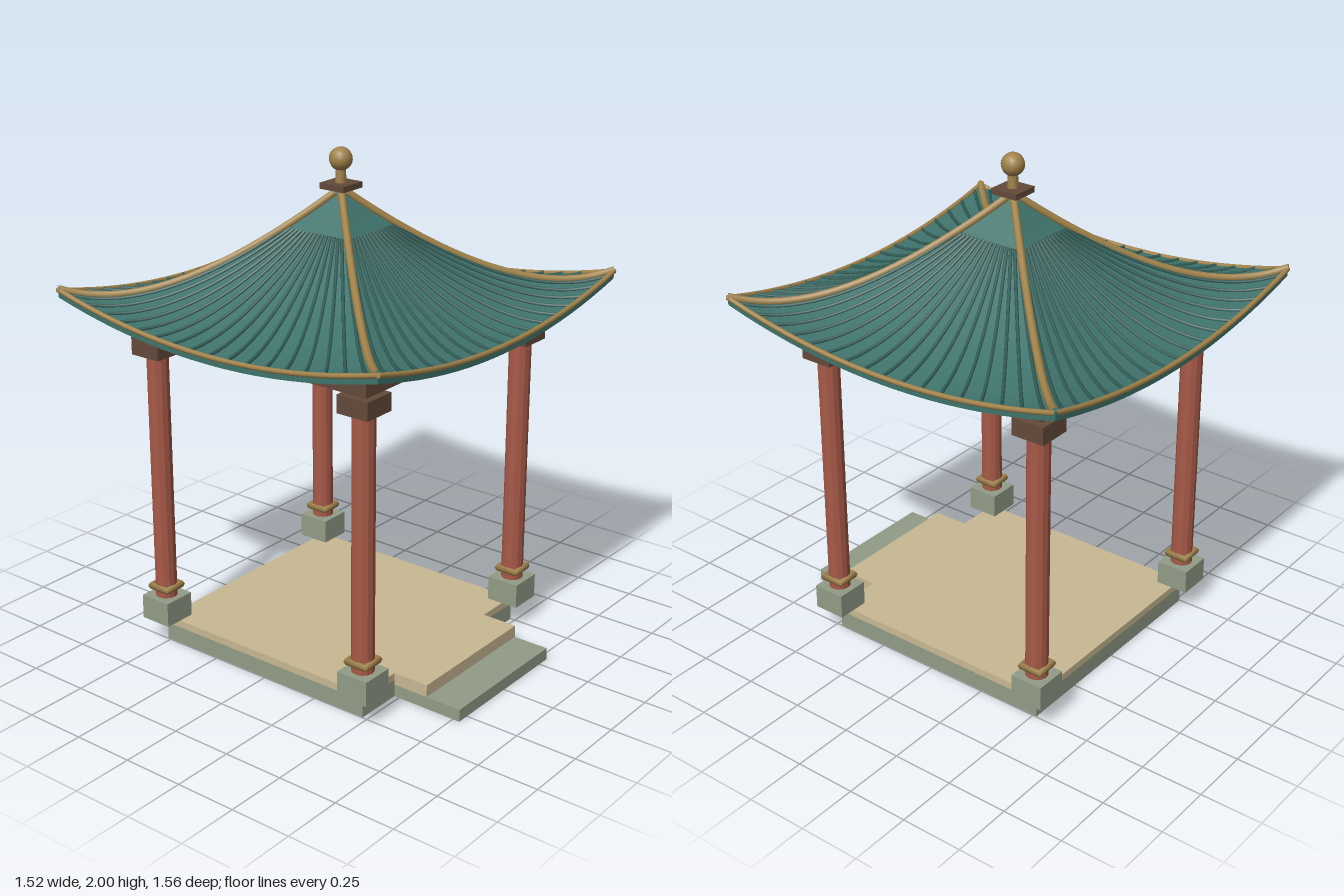
import * as THREE from 'three';

const mat = (color, flatShading = false) => new THREE.MeshStandardMaterial({ color, flatShading });
const R = 0.75;   // half width of the roof
const C = 0.497;  // column distance from the axis

// Roof surface of one side: u runs along the eave (-1..1), t from apex (0) to eave (1)
function roofPoint(u, t, lift = 0) {
  const y = 1.385 + 0.455 * Math.pow(1 - t, 1.7) + 0.1 * u * u * Math.pow(t, 4);
  return new THREE.Vector3(u * t * R, y + lift, t * R);
}

export function createModel() {
  const model = new THREE.Group();
  model.name = 'pavilion';
  const stone = mat(0x929c87), paving = mat(0xc8b993), red = mat(0xa85a48, true);
  const wood = mat(0x644a3a), gold = mat(0xa0824a), tile = mat(0x3f736c), ribTile = mat(0x315c56);

  const add = (parent, name, geometry, material, x = 0, y = 0, z = 0) => {
    const mesh = new THREE.Mesh(geometry, material);
    mesh.name = name;
    mesh.position.set(x, y, z);
    parent.add(mesh);
    return mesh;
  };
  // Box given by its bottom and top heights
  const box = (parent, name, material, w, y0, y1, d, x = 0, z = 0) =>
    add(parent, name, new THREE.BoxGeometry(w, y1 - y0, d), material, x, (y0 + y1) / 2, z);
  const tube = (parent, name, material, points, radius, sides = 8) => {
    const path = new THREE.CatmullRomCurve3(points);
    add(parent, name, new THREE.TubeGeometry(path, points.length * 2, radius, sides), material);
    // close both ends
    [0, 1].forEach((e) => {
      const cap = add(parent, name + 'End', new THREE.CircleGeometry(radius, sides), material);
      cap.position.copy(path.getPoint(e));
      cap.lookAt(cap.position.clone().addScaledVector(path.getTangent(e), e ? 1 : -1));
    });
  };
  const steps = (n, f) => Array.from({ length: n + 1 }, (_, i) => f(i / n));

  const body = new THREE.Group();
  body.name = 'body';
  body.position.z = -0.018;
  model.add(body);

  // Platform and front steps
  box(body, 'platform', stone, 0.994, 0, 0.07, 0.994);
  box(body, 'floor', paving, 0.994, 0.07, 0.1, 0.994);
  box(body, 'lowerStep', stone, 0.6, 0, 0.05, 0.3, 0, C + 0.15);
  box(body, 'upperStep', paving, 0.6, 0.05, 0.1, 0.15, 0, C + 0.075);

  // Columns with footing, square collar and capital
  for (const sx of [-1, 1]) for (const sz of [-1, 1]) {
    const column = new THREE.Group();
    column.name = 'column';
    column.position.set(sx * C, 0, sz * C);
    body.add(column);
    box(column, 'footing', stone, 0.136, 0.1, 0.2, 0.136);
    add(column, 'shaft', new THREE.CylinderGeometry(0.044, 0.044, 1.02, 12), red, 0, 0.71, 0);
    const collar = new THREE.TorusGeometry(0.058, 0.015, 6, 4).rotateX(Math.PI / 2).rotateY(Math.PI / 4);
    add(column, 'collar', collar, gold, 0, 0.24, 0);
    box(column, 'capital', wood, 0.136, 1.22, 1.29, 0.136);
  }

  // Beams, each with a red panel on one face
  for (const s of [-1, 1]) {
    box(body, 'crossBeam', wood, 0.994, 1.29, 1.39, 0.08, 0, s * C);
    box(body, 'crossBeamPanel', red, 0.9, 1.33, 1.37, 0.02, 0, s * C + 0.038);
    box(body, 'sideBeam', wood, 0.08, 1.29, 1.39, 1.074, s * C, 0);
    box(body, 'sideBeamPanel', red, 0.02, 1.33, 1.37, 0.9, s * C + 0.038, 0);
  }

  // Roof slab: a box bent onto the roof surface
  const slab = new THREE.BoxGeometry(2, 1, 1, 20, 1, 16);
  const pos = slab.attributes.position;
  for (let i = 0; i < pos.count; i++) {
    const t = Math.max(0.004, pos.getZ(i) + 0.5);
    const p = roofPoint(pos.getX(i), t, pos.getY(i) > 0 ? 0 : -0.03);
    pos.setXYZ(i, p.x, p.y, p.z);
  }
  slab.computeVertexNormals();

  for (let k = 0; k < 4; k++) {
    const side = new THREE.Group();
    side.name = 'roofSide';
    side.rotation.y = k * Math.PI / 2;
    body.add(side);
    add(side, 'roofSlab', slab, tile);
    // Tile ribs fanning out to the eave
    for (let i = -8; i <= 8; i++) {
      const u = i / 8 * 0.94;
      tube(side, 'tileRib', ribTile, steps(10, (f) => roofPoint(u, 0.2 + 0.79 * f, 0.003)), 0.007, 6);
    }
    tube(side, 'hipRidge', gold, steps(14, (f) => roofPoint(1, 0.02 + 0.98 * f, 0.004)), 0.015);
    tube(side, 'eaveTrim', gold, steps(14, (f) => roofPoint(2 * f - 1, 1)), 0.01);
  }

  // Finial
  box(body, 'finialBase', wood, 0.114, 1.843, 1.866, 0.114);
  add(body, 'finialStem', new THREE.CylinderGeometry(0.018, 0.022, 0.07, 10), gold, 0, 1.895, 0);
  add(body, 'finialBall', new THREE.SphereGeometry(0.045, 12, 10), gold, 0, 1.955, 0);

  return model;
}
